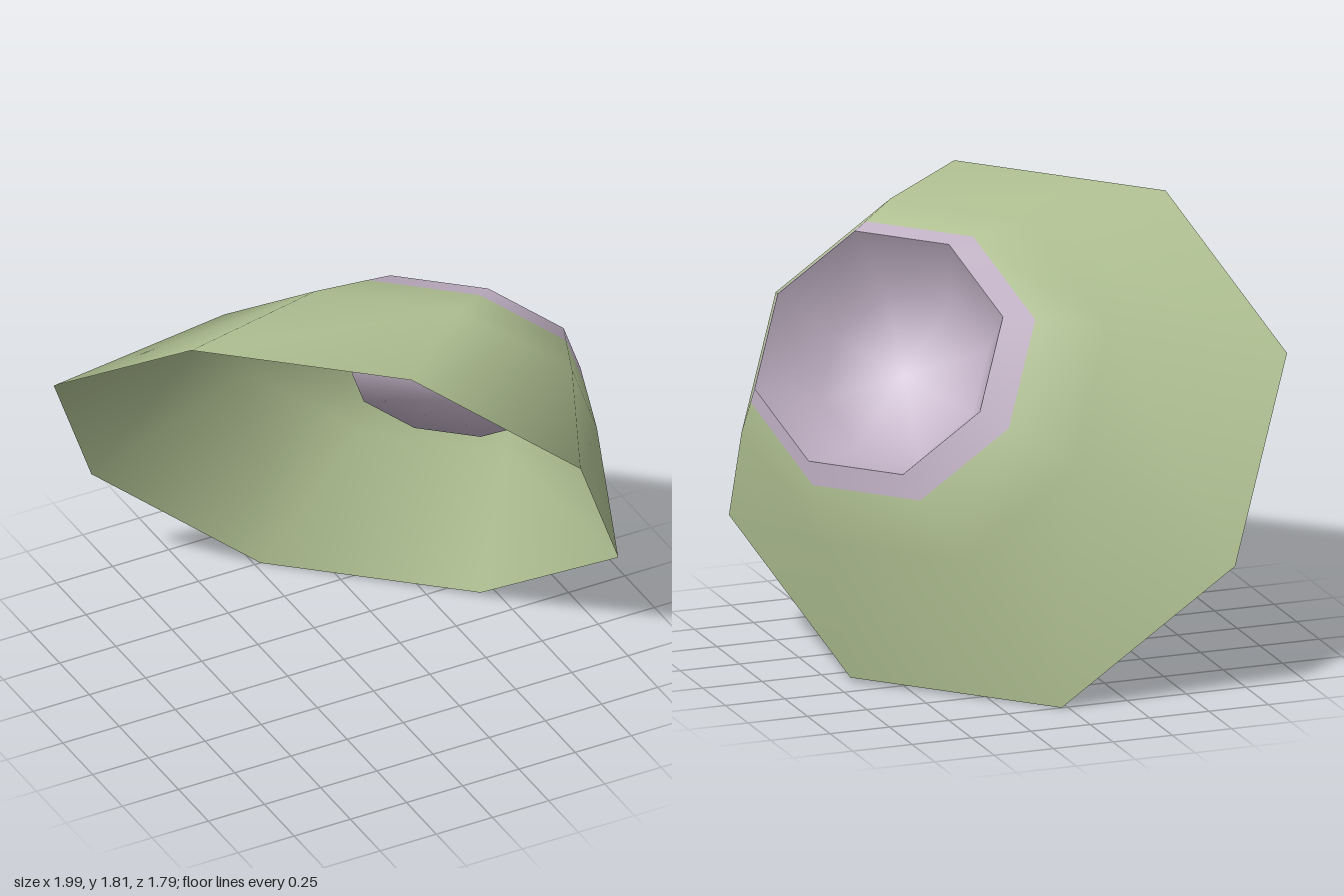
import * as THREE from 'three';

// Four spokes of the tilted octagon; the other four are their opposites.
const half = [[-0.06, 0.905, 0.75], [0.615, 0.355, 0.895], [0.965, -0.385, 0.55], [0.715, -0.885, -0.135]]
  .map((a) => new THREE.Vector3(...a));
const spokes = [...half, ...half.map((v) => v.clone().negate())];
const SIDES = spokes.length;

// Lofts octagonal rings, one geometry group per band.
function loft(rings) {
  const positions = [];
  const index = [];
  const geometry = new THREE.BufferGeometry();
  rings.forEach(({ center, scale }) => {
    spokes.forEach((v) => positions.push(...center.map((c, i) => c + v.getComponent(i) * scale)));
  });
  for (let r = 0; r < rings.length - 1; r++) {
    geometry.addGroup(index.length, SIDES * 6, rings[r].material ?? 0);
    for (let k = 0; k < SIDES; k++) {
      const a = r * SIDES + k;
      const b = r * SIDES + (k + 1) % SIDES;
      index.push(a, b, b + SIDES, a, b + SIDES, a + SIDES);
    }
  }
  // Close the last ring with a fan when it is a floor.
  const last = rings[rings.length - 1];
  if (last.closed) {
    const first = (rings.length - 1) * SIDES;
    const hub = rings.length * SIDES;
    positions.push(...last.center);
    geometry.addGroup(index.length, SIDES * 3, 0);
    for (let k = 0; k < SIDES; k++) index.push(first + k, first + (k + 1) % SIDES, hub);
  }
  geometry.setAttribute('position', new THREE.Float32BufferAttribute(positions, 3));
  geometry.setIndex(index);
  geometry.computeVertexNormals();
  return geometry;
}

export function createModel() {
  const green = new THREE.MeshStandardMaterial({ color: 0xb3c495, side: THREE.DoubleSide });
  green.name = 'mossGreen';
  const mauve = new THREE.MeshStandardMaterial({ color: 0xc3b3c7, side: THREE.DoubleSide });
  mauve.name = 'paleMauve';

  const mouth = { center: [0.549, 1.333, -0.105], scale: 0.445 };
  const group = new THREE.Group();
  group.name = 'openShell';

  // Leaning outer wall, open at the base, with a mauve lip around the mouth
  const wall = new THREE.Mesh(loft([
    { center: [-0.035, 0.905, 0], scale: 1 },
    { center: [0.35, 1.2, -0.1], scale: 0.66 },
    { center: [0.489, 1.293, -0.104], scale: 0.51, material: 1 },
    mouth,
  ]), [green, mauve]);
  wall.name = 'outerWallAndLip';

  // Tapered cup sunk into the mouth
  const cup = new THREE.Mesh(loft([
    mouth,
    { center: [0.37, 1.165, 0.085], scale: 0.3, closed: true },
  ]), [mauve]);
  cup.name = 'innerCup';

  group.add(wall, cup);
  return group;
}
